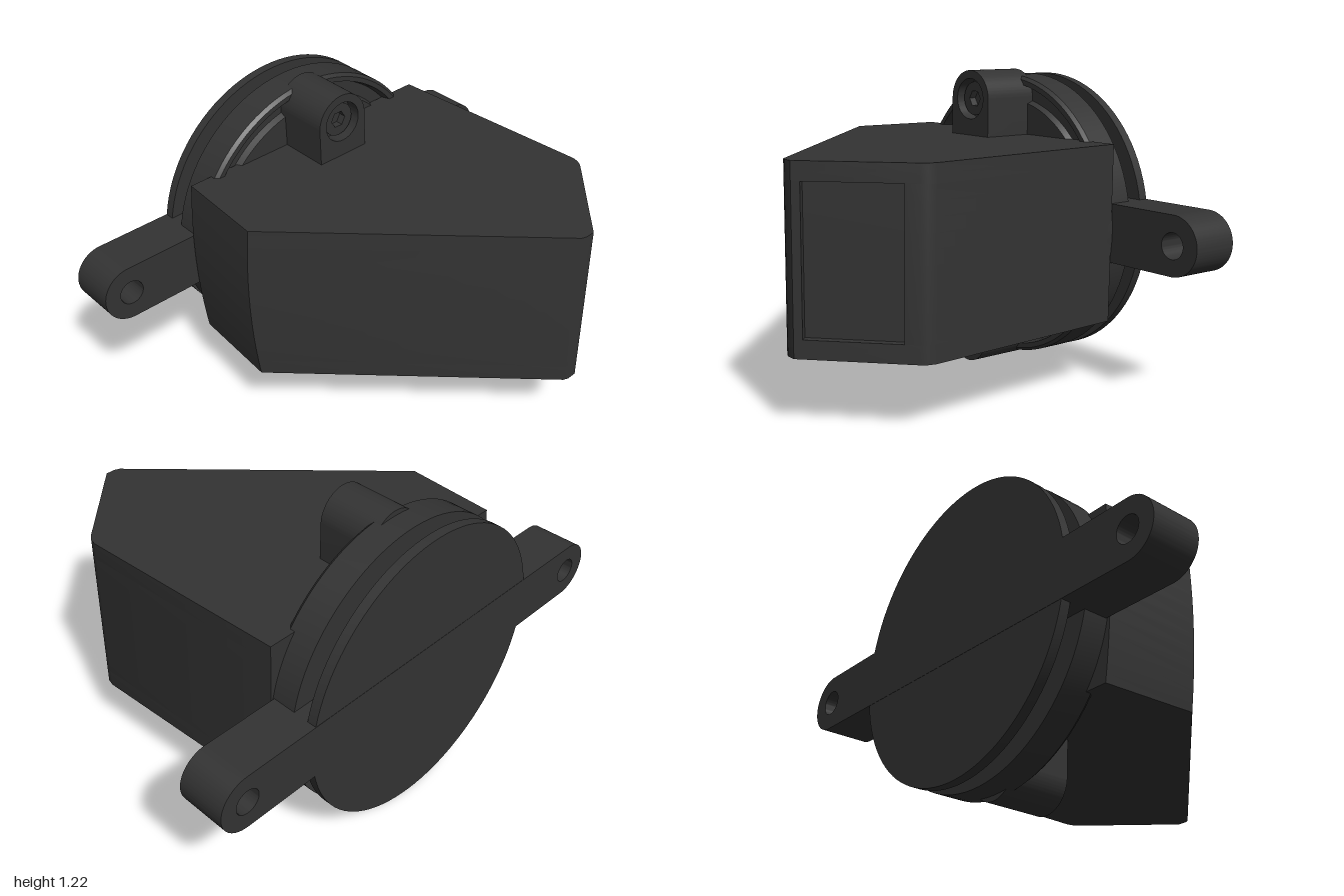
import * as THREE from 'three';
import { toCreasedNormals } from 'three/addons/utils/BufferGeometryUtils.js';

const CY = 0.612; // height of the disc axis
const material = new THREE.MeshStandardMaterial({ color: 0x333333 });

function part(name, geometry, crease = 0.55) {
  const mesh = new THREE.Mesh(toCreasedNormals(geometry, crease), material);
  mesh.name = name;
  return mesh;
}

function extrude(shape, depth, steps = 1) {
  return new THREE.ExtrudeGeometry(shape, { depth, steps, bevelEnabled: false, curveSegments: 32 });
}

function circle(r, x = 0, y = 0) {
  return new THREE.Path().absarc(x, y, r, 0, Math.PI * 2, true);
}

// One horizontal layer of the housing; the -x wall bows outwards at mid height
function housingLayer(name, outline, y0, y1, steps) {
  const shape = new THREE.Shape(outline.map(([x, z]) => new THREE.Vector2(x, -z)));
  const geo = extrude(shape, y1 - y0, steps).rotateX(-Math.PI / 2).translate(0, y0, 0);
  const p = geo.attributes.position;
  for (let i = 0; i < p.count; i++) {
    if (p.getX(i) < -0.5) {
      const t = (p.getY(i) - CY) / 0.345;
      p.setX(i, p.getX(i) + 0.022 * t * t);
    }
  }
  return part(name, geo);
}

export function createModel() {
  const model = new THREE.Group();
  model.name = 'wallSensor';

  // Wedge-shaped housing with a shallow window pocket in the short front face
  const rear = [[0.585, -0.52], [-0.59, -0.52], [-0.615, -0.14], [0.24, 0.712], [0.26, 0.72], [0.30, 0.72]];
  const corner = [[0.613, 0.407], [0.628, 0.385], [0.635, 0.355]];
  const pocket = [[0.323, 0.697], [0.301, 0.675], [0.553, 0.423], [0.575, 0.445]];
  const solid = [...rear, ...corner];
  const notched = [...rear, ...pocket, ...corner];
  const housing = new THREE.Group();
  housing.name = 'housing';
  housing.add(
    housingLayer('housingBottom', solid, 0.265, 0.335, 2),
    housingLayer('housingMiddle', notched, 0.335, 0.887, 10),
    housingLayer('housingTop', solid, 0.887, 0.957, 2)
  );
  model.add(housing);

  // Round base: back plate, neck, and front flange with a raised rim
  const profile = [
    [0, -0.72], [0.587, -0.72], [0.587, -0.682], [0.39, -0.682], [0.39, -0.62], [0.587, -0.62],
    [0.587, -0.5], [0.575, -0.486], [0.555, -0.486], [0.545, -0.525], [0.495, -0.525], [0.485, -0.5], [0, -0.5]
  ].map(([r, z]) => new THREE.Vector2(r, z));
  const base = part('baseDisc', new THREE.LatheGeometry(profile, 96).rotateX(Math.PI / 2));
  base.position.y = CY;
  model.add(base);

  // Mounting bar with rounded, drilled ends
  const bar = new THREE.Shape();
  bar.absarc(0.885, 0, 0.115, -Math.PI / 2, Math.PI / 2, false);
  bar.absarc(-0.885, 0, 0.115, Math.PI / 2, Math.PI * 1.5, false);
  for (const x of [-0.885, 0.885]) bar.holes.push(circle(0.05, x));
  const ears = part('mountingBar', extrude(bar, 0.196));
  ears.position.set(0, CY, -0.721);
  model.add(ears);

  // Screw bosses above and below the housing
  for (const side of [1, -1]) {
    const boss = new THREE.Group();
    boss.name = side > 0 ? 'upperBoss' : 'lowerBoss';
    boss.position.set(0, CY, 0);
    if (side < 0) boss.rotation.z = Math.PI;

    const outline = new THREE.Shape();
    outline.moveTo(-0.115, 0.3);
    outline.lineTo(0.115, 0.3);
    outline.absarc(0, 0.493, 0.115, 0, Math.PI, false);
    outline.holes.push(circle(0.082, 0, 0.493));
    const body = part('bossBody', extrude(outline, 0.24));
    body.position.z = -0.53;

    // Screw head with a hexagonal socket
    const head = new THREE.Shape();
    head.absarc(0, 0, 0.068, 0, Math.PI * 2, false);
    const hex = [];
    for (let i = 0; i < 6; i++) {
      hex.push(new THREE.Vector2(0.034 * Math.cos(i * Math.PI / 3), 0.034 * Math.sin(i * Math.PI / 3)));
    }
    head.holes.push(new THREE.Path(hex));
    const screw = part('screwHead', extrude(head, 0.04));
    screw.position.set(0, 0.493, -0.355);

    const floor = part('bossFloor', new THREE.CylinderGeometry(0.082, 0.082, 0.1, 32).rotateX(Math.PI / 2));
    floor.position.set(0, 0.493, -0.395);
    boss.add(body, screw, floor);
    model.add(boss);
  }

  return model;
}
